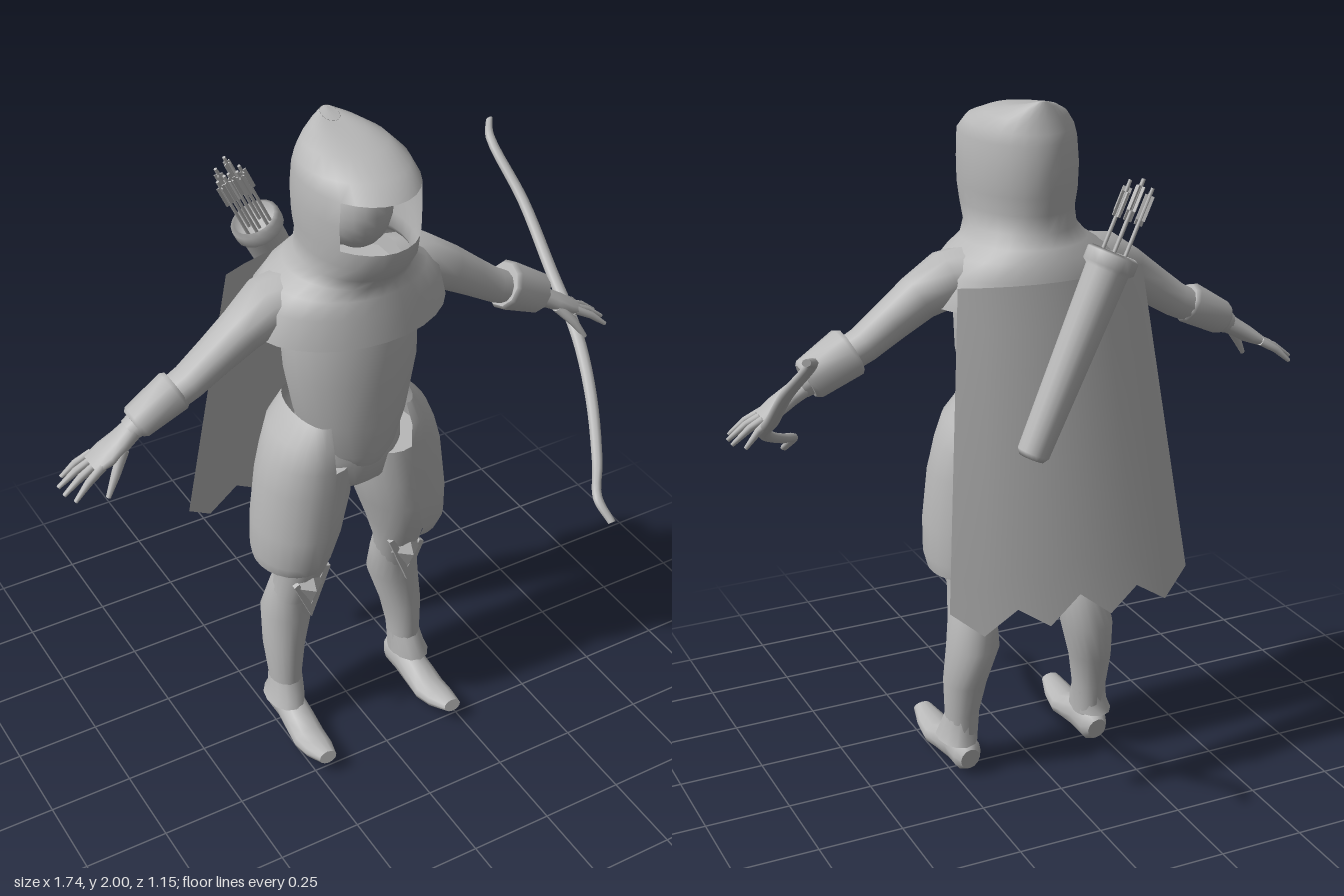
import * as THREE from 'three';

const gray = new THREE.MeshStandardMaterial({ color: 0xb8b8b8, side: THREE.DoubleSide });
gray.name = 'plain gray';
const V = (x, y, z) => new THREE.Vector3(x, y, z);

function add(parent, name, geometry) {
  const mesh = new THREE.Mesh(geometry, gray);
  mesh.name = name;
  parent.add(mesh);
  return mesh;
}

// Skins rings of points; closed rings wrap round, skip(i, j) leaves holes
function loft(rings, { closed = true, caps = true, skip } = {}) {
  const n = rings[0].length, pos = [], index = [];
  rings.forEach(r => r.forEach(p => pos.push(p.x, p.y, p.z)));
  for (let i = 0; i < rings.length - 1; i++) {
    for (let j = 0; j < (closed ? n : n - 1); j++) {
      if (skip && skip(i, j)) continue;
      const a = i * n + j, b = i * n + (j + 1) % n;
      index.push(a, b, b + n, a, b + n, a + n);
    }
  }
  if (closed && caps) {
    [0, rings.length - 1].forEach(i => {
      const c = rings[i].reduce((s, p) => s.add(p), V(0, 0, 0)).divideScalar(n);
      const start = pos.length / 3;
      rings[i].concat(c).forEach(p => pos.push(p.x, p.y, p.z));
      for (let j = 0; j < n; j++) {
        const a = start + j, b = start + (j + 1) % n;
        index.push(...(i ? [a, b, start + n] : [b, a, start + n]));
      }
    });
  }
  const g = new THREE.BufferGeometry();
  g.setAttribute('position', new THREE.Float32BufferAttribute(pos, 3));
  g.setIndex(index);
  g.computeVertexNormals();
  return g;
}

// Upright body: rows of [y, cx, front z, back z, half width, front lift]
function body(rows, opt = {}) {
  const { n = 20, from = 0, to = Math.PI * 2, closed = true } = opt;
  return loft(rows.map(([y, cx, zf, zb, rx, lift = 0]) =>
    Array.from({ length: closed ? n : n + 1 }, (_, j) => {
      const a = from + (to - from) * j / n;
      return V(cx + rx * Math.sin(a), y + lift * Math.cos(a), (zf + zb) / 2 + (zf - zb) / 2 * Math.cos(a));
    })), opt);
}

// Limb along a path: rows of [x, y, z, radius along side, other radius]
function limb(rows, side = V(0, 0, 1), n = 12) {
  const c = rows.map(r => V(r[0], r[1], r[2]));
  return loft(rows.map((r, i) => {
    const t = c[Math.min(i + 1, c.length - 1)].clone().sub(c[Math.max(i - 1, 0)]).normalize();
    const b = side.clone().cross(t).normalize();
    return Array.from({ length: n }, (_, j) => {
      const a = j / n * Math.PI * 2;
      return c[i].clone().addScaledVector(side, r[3] * Math.sin(a)).addScaledVector(b, r[4] * Math.cos(a));
    });
  }));
}

function makeLeg() {
  const leg = new THREE.Group();
  add(leg, 'thigh', body([
    [0.5, 0.18, 0.06, -0.08, 0.065], [0.6, 0.165, 0.09, -0.06, 0.07], [0.68, 0.16, 0.125, -0.1, 0.085],
    [0.78, 0.147, 0.145, -0.125, 0.105], [0.88, 0.13, 0.145, -0.13, 0.115], [1.0, 0.11, 0.135, -0.12, 0.105]]));
  add(leg, 'boot shaft', body([
    [0.1, 0.21, 0.05, -0.06, 0.045], [0.2, 0.21, 0.05, -0.07, 0.05], [0.3, 0.205, 0.05, -0.095, 0.062],
    [0.42, 0.185, 0.045, -0.122, 0.077], [0.52, 0.175, 0.06, -0.09, 0.07], [0.6, 0.165, 0.085, -0.06, 0.062]]));
  add(leg, 'ankle cuff', body([
    [0.105, 0.222, 0.085, -0.078, 0.058], [0.14, 0.215, 0.07, -0.065, 0.052], [0.18, 0.21, 0.05, -0.067, 0.05]], { n: 12, caps: false }));
  // Pointed shoe with a raised toe
  add(leg, 'shoe', limb([
    [0.21, 0.06, -0.07, 0.03, 0.035], [0.21, 0.065, -0.045, 0.044, 0.055], [0.21, 0.07, 0.02, 0.045, 0.06],
    [0.213, 0.055, 0.09, 0.05, 0.045], [0.215, 0.04, 0.15, 0.052, 0.036], [0.217, 0.05, 0.21, 0.046, 0.029],
    [0.22, 0.068, 0.275, 0.028, 0.019]], V(1, 0, 0)));
  // Faceted diamond over a V-shaped strap
  const knee = new THREE.ConeGeometry(0.1, 0.045, 4).toNonIndexed();
  knee.computeVertexNormals();
  knee.rotateX(Math.PI / 2).scale(0.52, 0.9, 1);
  add(leg, 'kneeGuard', knee).position.set(0.165, 0.58, 0.095);
  const v = new THREE.Shape([[-0.065, 0.06], [-0.045, 0.065], [0, -0.06], [0.04, 0.03], [0.055, 0.02], [0, -0.11]]
    .map(p => new THREE.Vector2(...p)));
  const strap = add(leg, 'kneeStrap', new THREE.ExtrudeGeometry(v, { depth: 0.015, bevelEnabled: false }));
  strap.position.set(0.165, 0.57, 0.07);
  // Skirt panel open at the inside of the leg
  add(leg, 'skirtPanel', body([
    [0.66, 0.185, 0.13, -0.13, 0.11], [0.7, 0.185, 0.15, -0.135, 0.118], [0.8, 0.165, 0.163, -0.14, 0.137],
    [0.95, 0.14, 0.163, -0.14, 0.145], [1.03, 0.135, 0.16, -0.14, 0.128], [1.1, 0.135, 0.155, -0.14, 0.098],
    [1.16, 0.125, 0.13, -0.12, 0.05]], { n: 14, from: -0.1, to: Math.PI + 0.35, closed: false }));
  return leg;
}

function makeArm(cuffScale) {
  const arm = new THREE.Group();
  add(arm, 'sleeve', limb([
    [0.14, 1.53, -0.01, 0.1, 0.08], [0.24, 1.52, -0.01, 0.09, 0.078], [0.32, 1.475, 0, 0.068, 0.066],
    [0.4, 1.42, 0, 0.06, 0.057], [0.48, 1.365, 0, 0.055, 0.05], [0.58, 1.315, 0, 0.05, 0.045],
    [0.66, 1.27, 0, 0.034, 0.032]]));
  const k = cuffScale;
  add(arm, 'wristCuff', limb([
    [0.515, 1.355, 0, 0.053 * k, 0.053 * k], [0.525, 1.35, 0, 0.06 * k, 0.06 * k],
    [0.635, 1.29, 0, 0.05 * k, 0.05 * k], [0.645, 1.285, 0, 0.042 * k, 0.042 * k]], V(0, 0, 1), 10));
  add(arm, 'palm', limb([
    [0.64, 1.28, 0, 0.033, 0.03], [0.69, 1.25, 0.005, 0.042, 0.026], [0.73, 1.225, 0.005, 0.05, 0.024],
    [0.775, 1.2, 0, 0.045, 0.015]]));
  for (let i = 0; i < 4; i++) {
    const z = -0.036 + i * 0.024, reach = [0, 0.025, 0.025, 0.01][i];
    add(arm, 'finger', limb([
      [0.755, 1.21, z, 0.012, 0.013], [0.8 + reach / 2, 1.183, z * 1.35, 0.011, 0.011],
      [0.84 + reach, 1.145, z * 1.65, 0.006, 0.006]], V(0, 0, 1), 8));
  }
  add(arm, 'thumb', limb([
    [0.69, 1.24, 0.03, 0.016, 0.016], [0.73, 1.195, 0.06, 0.013, 0.014],
    [0.765, 1.14, 0.078, 0.007, 0.007]], V(0, 0, 1), 8));
  return arm;
}

function makeQuiver() {
  const quiver = new THREE.Group();
  quiver.name = 'quiver';
  const profile = [[0, 0], [0.035, 0], [0.045, 0.015], [0.06, 0.54], [0.072, 0.55], [0.072, 0.585], [0.06, 0.592], [0.052, 0.55], [0, 0.55]];
  add(quiver, 'quiverCase', new THREE.LatheGeometry(profile.map(p => new THREE.Vector2(...p)), 18));
  // Seven arrows with crossed feathers
  for (let i = 0; i < 7; i++) {
    const a = i * Math.PI / 3, r = i < 6 ? 0.036 : 0, top = 0.77 + (i % 3) * 0.014;
    const arrow = new THREE.Group();
    arrow.name = 'arrow';
    add(arrow, 'shaft', new THREE.CylinderGeometry(0.005, 0.005, 0.25, 6)).position.y = top - 0.125;
    for (const turn of [0, Math.PI / 2]) {
      const feather = add(arrow, 'feather', new THREE.BoxGeometry(0.026, 0.07, 0.003));
      feather.position.y = top - 0.055;
      feather.rotation.y = turn + a;
    }
    arrow.position.set(r * Math.cos(a), 0, r * Math.sin(a));
    quiver.add(arrow);
  }
  const base = V(0.125, 1.085, -0.305), dir = V(-0.13, 1.62, -0.28).sub(base).normalize();
  quiver.position.copy(base);
  quiver.quaternion.setFromUnitVectors(V(0, 1, 0), dir);
  return quiver;
}

export function createModel() {
  const model = new THREE.Group();
  model.name = 'hooded archer';

  // Hood and shoulder collar in one skin, with a square face opening
  add(model, 'hood', body([
    [1.455, 0, 0.22, -0.23, 0.29], [1.54, 0, 0.205, -0.21, 0.27], [1.585, 0, 0.195, -0.195, 0.225],
    [1.615, 0, 0.19, -0.175, 0.175], [1.65, 0, 0.215, -0.15, 0.15], [1.7, 0, 0.255, -0.15, 0.148],
    [1.75, 0, 0.26, -0.158, 0.155], [1.82, 0, 0.26, -0.162, 0.157], [1.89, 0, 0.26, -0.155, 0.153],
    [1.925, 0, 0.21, -0.145, 0.14, 0.008], [1.957, 0, 0.12, -0.132, 0.11, 0.005],
    [1.979, 0, 0.04, -0.122, 0.066, -0.005], [1.992, 0, -0.05, -0.115, 0.025, -0.008]],
  { n: 28, caps: false, skip: (i, j) => (i === 6 || i === 7) && (j < 4 || j >= 24) }));
  add(model, 'hoodTip', body([
    [1.992, 0, -0.05, -0.115, 0.025, -0.008], [2.0, 0, -0.1, -0.112, 0.004]], { n: 12 }));
  const face = add(model, 'face', new THREE.SphereGeometry(1, 20, 14));
  face.scale.set(0.097, 0.13, 0.115);
  face.position.set(0, 1.8, 0.045);

  add(model, 'torso', body([
    [1.0, 0, 0.145, -0.12, 0.09], [1.04, 0, 0.16, -0.13, 0.125], [1.15, 0, 0.175, -0.138, 0.163],
    [1.3, 0, 0.18, -0.14, 0.193], [1.46, 0, 0.165, -0.14, 0.203], [1.56, 0, 0.13, -0.13, 0.17]], { n: 24 }));
  add(model, 'pelvis', body([
    [0.87, 0, 0.06, -0.08, 0.05], [0.93, 0, 0.125, -0.12, 0.13], [1.02, 0, 0.14, -0.13, 0.16], [1.12, 0, 0.13, -0.13, 0.15]]));

  for (const s of [1, -1]) {
    const leg = makeLeg(), arm = makeArm(s > 0 ? 1.22 : 1);
    leg.name = s > 0 ? 'leftLeg' : 'rightLeg';
    arm.name = s > 0 ? 'leftArm' : 'rightArm';
    leg.scale.x = arm.scale.x = s;
    model.add(leg, arm);
  }

  // Curved cape with a ragged hem
  const hem = [0.67, 0.6, 0.665, 0.605, 0.68, 0.605, 0.665, 0.6, 0.67];
  const cape = Array.from({ length: 9 }, (_, i) => hem.map((h, j) => {
    const t = i / 8, u = j / 4 - 1, y = h + (1.54 - h) * t, k = (1.54 - y) / 0.9;
    return V(u * (0.275 + 0.095 * k), y, -0.23 - 0.135 * k + 0.06 * u * u);
  }));
  add(model, 'cape', loft(cape, { closed: false }));

  model.add(makeQuiver());

  // Recurved bow held in the left hand
  const bow = new THREE.CatmullRomCurve3([
    [0.835, 1.54, -0.57], [0.8, 1.515, -0.51], [0.808, 1.38, -0.33], [0.785, 1.24, -0.13], [0.75, 1.14, 0.06],
    [0.68, 1.05, 0.24], [0.58, 0.965, 0.42], [0.52, 0.925, 0.51], [0.53, 0.875, 0.57]].map(p => V(...p)));
  add(model, 'bow', limb(Array.from({ length: 41 }, (_, i) => {
    const p = bow.getPoint(i / 40), r = 0.012 + 0.009 * Math.sin(Math.PI * i / 40);
    return [p.x, p.y, p.z, r, r * 0.8];
  }), V(1, 0, 0), 8));
  return model;
}
